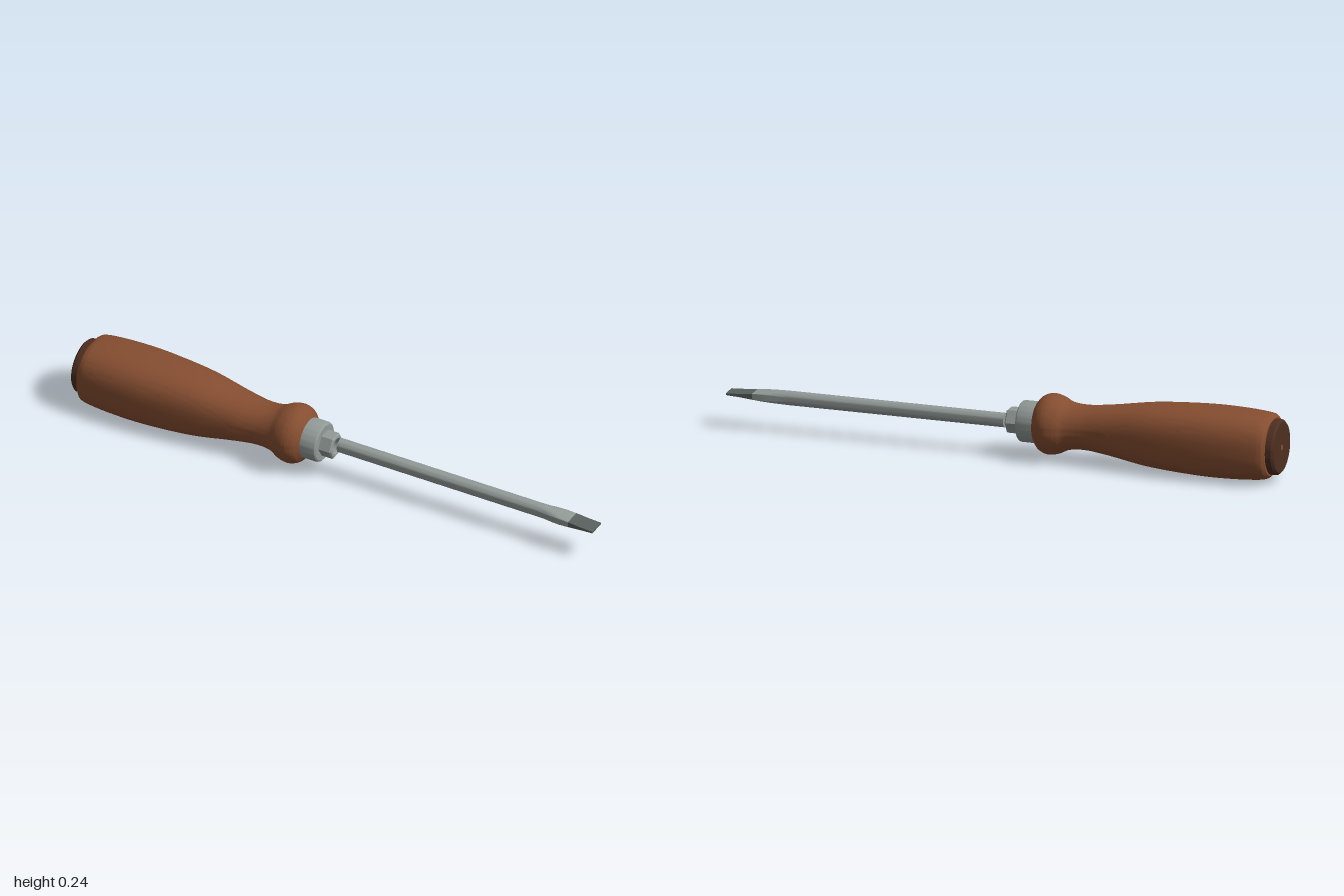
import * as THREE from 'three';
import { toCreasedNormals } from 'three/addons/utils/BufferGeometryUtils.js';

const AXIS_Y = 0.122;
const SHAFT_Z = -0.0125;

const material = (name, color) => {
  const m = new THREE.MeshStandardMaterial({ color });
  m.name = name;
  return m;
};

// Superellipse rings along x, closed at both ends; each section is { x, ry, rz, n }
function loft(sections, sides = 64) {
  const pos = [], index = [];
  const power = (v, n) => Math.sign(v) * Math.pow(Math.abs(v), 2 / n);
  for (const { x, ry, rz, n } of sections) {
    for (let j = 0; j < sides; j++) {
      const a = (j / sides) * Math.PI * 2;
      pos.push(x, ry * power(Math.sin(a), n), rz * power(Math.cos(a), n));
    }
  }
  const last = sections.length - 1;
  const c0 = pos.length / 3;
  pos.push(sections[0].x, 0, 0, sections[last].x, 0, 0);
  for (let j = 0; j < sides; j++) {
    const k = (j + 1) % sides;
    for (let i = 0; i < last; i++) {
      const a = i * sides + j, b = a + sides, c = i * sides + k, d = c + sides;
      index.push(a, b, c, b, d, c);
    }
    index.push(c0, j, k, c0 + 1, last * sides + k, last * sides + j);
  }
  const g = new THREE.BufferGeometry();
  g.setAttribute('position', new THREE.Float32BufferAttribute(pos, 3));
  g.setIndex(index);
  return toCreasedNormals(g, 0.55);
}

// Turned part along x; each profile point is [x, radius]
function turned(profile) {
  const pts = profile.map(([x, r]) => new THREE.Vector2(r, x));
  return toCreasedNormals(new THREE.LatheGeometry(pts, 64).rotateZ(-Math.PI / 2), 0.5);
}

export function createModel() {
  const group = new THREE.Group();
  group.name = 'screwdriver';
  const wood = material('wood', 0x864e31);
  const darkWood = material('darkWood', 0x4e2e20);
  const steel = material('steel', 0x929a97);
  const darkSteel = material('darkSteel', 0x5a615f);

  const add = (name, geometry, mat, z = 0) => {
    const mesh = new THREE.Mesh(geometry, mat);
    mesh.name = name;
    mesh.position.set(0, AXIS_Y, z);
    group.add(mesh);
  };

  // Handle: squarish grip flowing into a round neck and bead
  const profile = new THREE.CatmullRomCurve3([
    [-0.972, 0.098, 0.1], [-0.96, 0.108, 0.112], [-0.91, 0.115, 0.121], [-0.78, 0.12, 0.126],
    [-0.67, 0.117, 0.122], [-0.53, 0.107, 0.109], [-0.38, 0.086, 0.087], [-0.29, 0.078, 0.078],
    [-0.235, 0.084, 0.084], [-0.2, 0.1, 0.1], [-0.165, 0.106, 0.106], [-0.135, 0.095, 0.095],
    [-0.115, 0.07, 0.07],
  ].map((p) => new THREE.Vector3(...p)));
  const grip = profile.getPoints(96).map((p) => ({
    x: p.x, ry: p.y, rz: p.z,
    n: 2.6 - 0.6 * THREE.MathUtils.smoothstep(p.x, -0.55, -0.24),
  }));
  add('handle', loft(grip, 72), wood);

  // End cap with a small pin in its centre
  add('endCap', turned([[-1, 0], [-1, 0.088], [-0.992, 0.096], [-0.965, 0.098], [-0.965, 0]]), darkWood);
  add('endPin', turned([[-1.001, 0], [-1.001, 0.01], [-0.99, 0.01]]), wood);

  // Collar with an open bore
  add('collar', turned([
    [-0.118, 0.026], [-0.118, 0.072], [-0.066, 0.072], [-0.06, 0.07], [-0.056, 0.065],
    [-0.056, 0.026], [-0.118, 0.026],
  ]), steel);

  // Bored hexagonal bolster, corners pointing sideways
  const hex = new THREE.Shape();
  for (let i = 0; i < 6; i++) {
    const a = (i * Math.PI) / 3;
    hex[i ? 'lineTo' : 'moveTo'](0.042 * Math.cos(a), 0.042 * Math.sin(a));
  }
  hex.closePath();
  const bore = new THREE.Path();
  bore.absarc(0, 0, 0.029, 0, Math.PI * 2, true);
  hex.holes.push(bore);
  const hexGeometry = new THREE.ExtrudeGeometry(hex, {
    depth: 0.042, bevelEnabled: true, bevelThickness: 0.004, bevelSize: 0.004,
    bevelSegments: 1, curveSegments: 32,
  });
  add('hexBolster', hexGeometry.rotateY(Math.PI / 2).translate(-0.056, 0, 0), steel);

  // Shaft, flattening and widening towards the blade
  const section = ([x, ry, rz, n]) => ({ x, ry, rz, n });
  add('shaft', loft([
    [-0.003, 0.025, 0.025, 2], [0.78, 0.025, 0.025, 2], [0.81, 0.0235, 0.026, 2.3],
    [0.84, 0.02, 0.0295, 3.5], [0.87, 0.0155, 0.031, 7], [0.905, 0.011, 0.031, 20],
  ].map(section)), steel, SHAFT_Z);

  // Flat blade tip
  add('bladeTip', loft([
    [0.905, 0.011, 0.031, 20], [0.95, 0.0065, 0.031, 24], [1, 0.0035, 0.031, 24],
  ].map(section)), darkSteel, SHAFT_Z);

  return group;
}
